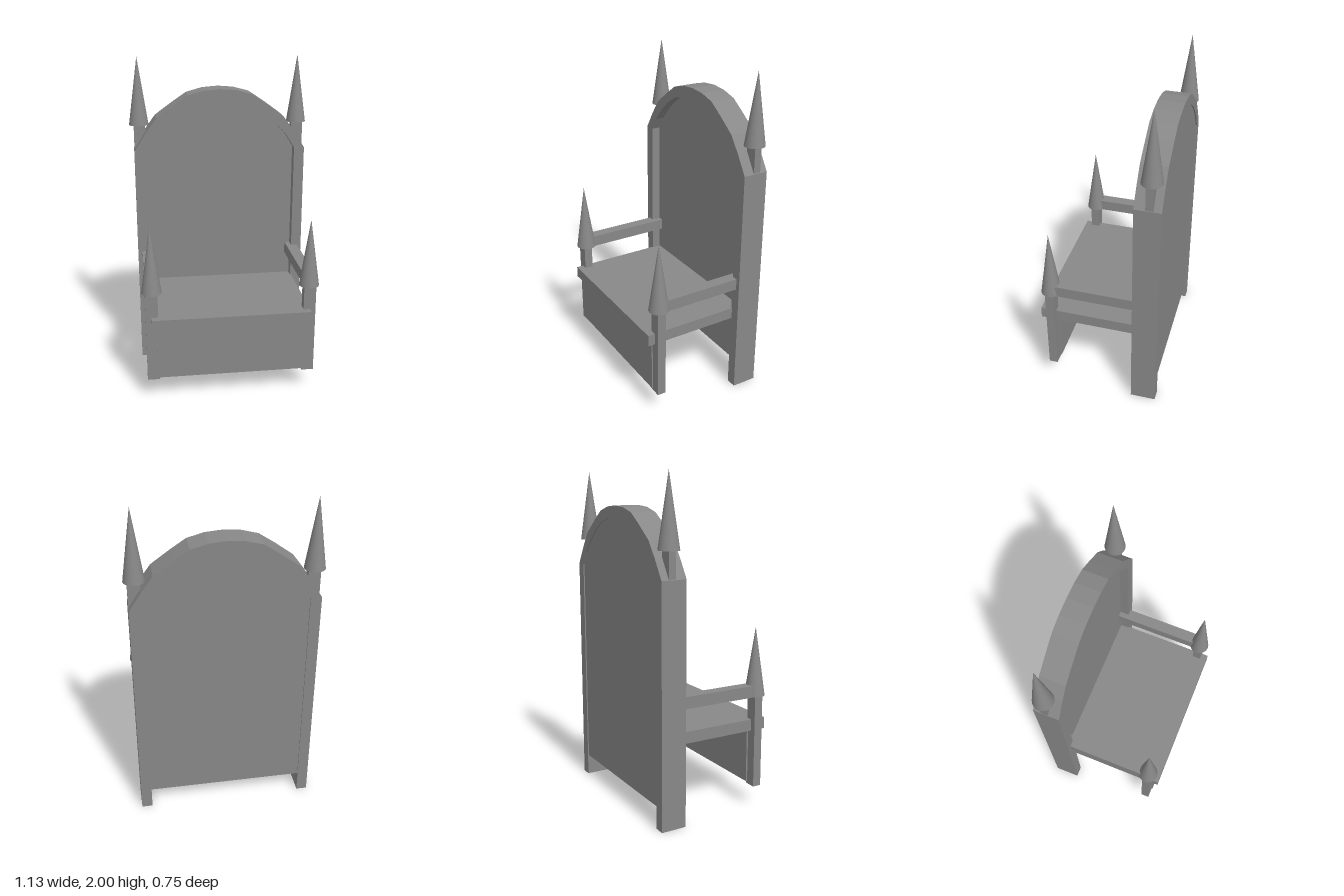
import * as THREE from 'three';

const material = new THREE.MeshStandardMaterial({ color: 0x888888, flatShading: true });
const smooth = new THREE.MeshStandardMaterial({ color: 0x888888 });

// The frame, seat and arms sit slightly to the left of the back spires
const SHIFT = 0.003;

// Right halves of the pointed arch, from springing line to crown
const OUTER = [[0.54, 1.425], [0.47, 1.535], [0.4, 1.63], [0.29, 1.71], [0.2, 1.77], [0.1, 1.797], [0, 1.805]];
const INNER = [[0.475, 1.425], [0.425, 1.505], [0.36, 1.58], [0.28, 1.65], [0.2, 1.7], [0.1, 1.727], [0, 1.735]];

// Full arch from right to left, as 2D points
function arch(half) {
  const left = half.slice(0, -1).reverse().map(([x, y]) => [-x, y]);
  return [...half, ...left].map(([x, y]) => new THREE.Vector2(x, y));
}

export function createModel() {
  const group = new THREE.Group();

  function add(name, geometry, mat = material) {
    const mesh = new THREE.Mesh(geometry, mat);
    mesh.name = name;
    group.add(mesh);
    return mesh;
  }

  // Box given by its limits on each axis
  function box(name, [x0, x1], [y0, y1], [z0, z1]) {
    add(name, new THREE.BoxGeometry(x1 - x0, y1 - y0, z1 - z0))
      .position.set((x0 + x1) / 2 + SHIFT, (y0 + y1) / 2, (z0 + z1) / 2);
  }

  function slab(name, points, z0, z1) {
    const geometry = new THREE.ExtrudeGeometry(new THREE.Shape(points), { depth: z1 - z0, bevelEnabled: false });
    add(name, geometry).position.set(SHIFT, 0, z0);
  }

  function spire(name, x, y, z, height) {
    add(name, new THREE.ConeGeometry(0.061, height, 32), smooth).position.set(x, y + height / 2, z);
  }

  // Arched back: legs and arch in one frame, with a recessed panel
  const v = (x, y) => new THREE.Vector2(x, y);
  slab('backFrame', [v(0.54, 0), ...arch(OUTER), v(-0.54, 0), v(-0.475, 0),
    ...arch(INNER).reverse(), v(0.475, 0)], -0.373, -0.218);
  slab('backPanel', [v(0.475, 0.13), ...arch(INNER), v(-0.475, 0.13)], -0.366, -0.275);

  // Seat and front skirt
  box('seat', [-0.48, 0.482], [0.475, 0.545], [-0.28, 0.372]);
  box('frontSkirt', [-0.453, 0.455], [0.145, 0.48], [0.265, 0.335]);

  // Posts, arms and spires on both sides
  for (const side of [-1, 1]) {
    const label = side > 0 ? 'left' : 'right';
    const span = (a, b) => (side > 0 ? [a, b] : [-b, -a]);
    box(label + 'FrontPost', span(0.441, 0.515), [0.13, 0.7], [0.275, 0.328]);
    box(label + 'Arm', span(0.442, 0.513), [0.692, 0.762], [-0.28, 0.28]);
    box(label + 'BackPost', span(0.466, 0.538), [1.35, 1.585], [-0.327, -0.283]);
    spire(label + 'FrontSpire', side * 0.475 + SHIFT, 0.695, 0.298, 0.413);
    spire(label + 'BackSpire', side * 0.502, 1.58, -0.308, 0.42);
  }
  return group;
}
